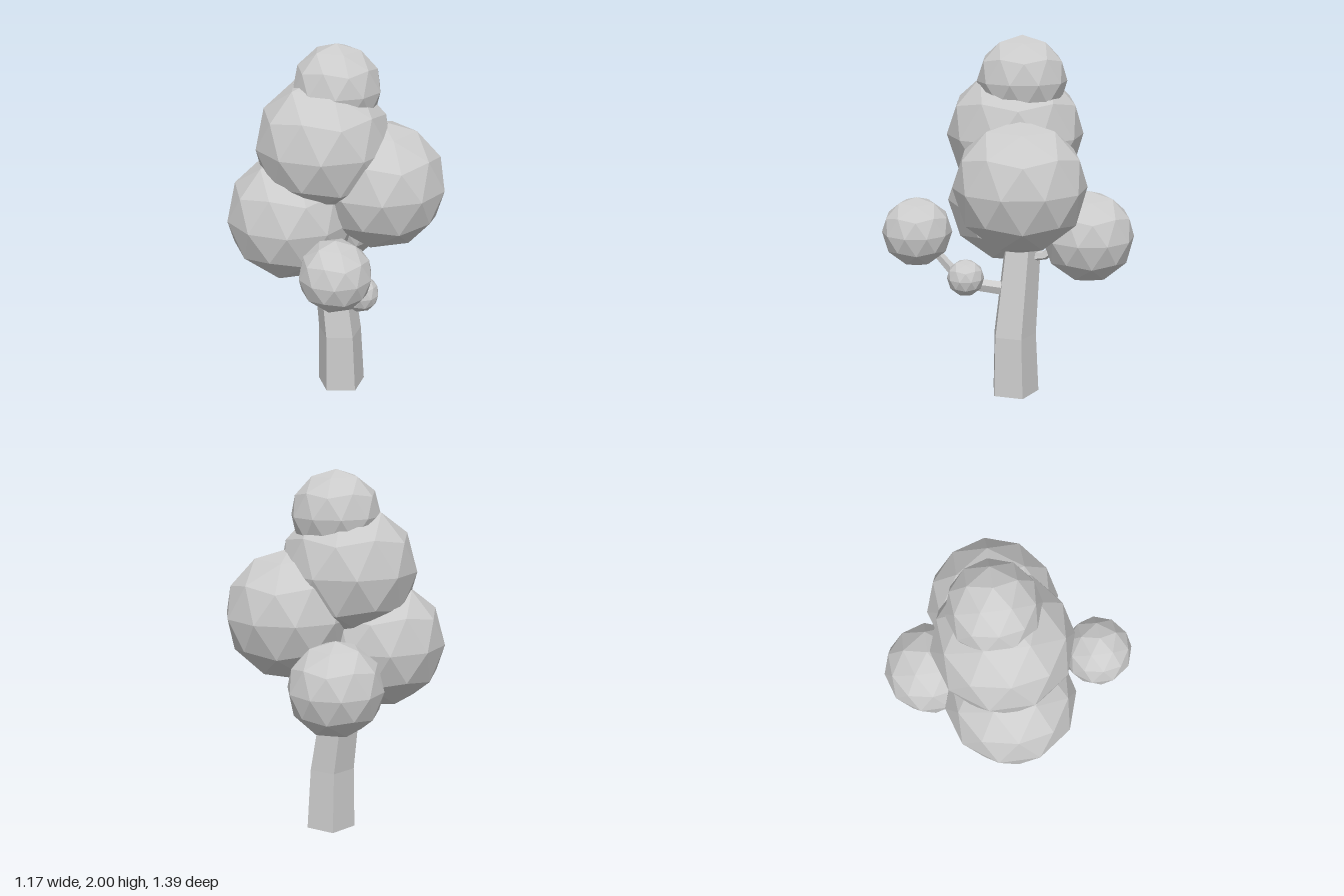
import * as THREE from 'three';

const material = new THREE.MeshStandardMaterial({ color: 0xcccccc, flatShading: true });

// Five-sided tapering limb through [x, y, z, radius] stations, closed at both ends
function limb(name, stations, fixedAxis) {
  const sides = 5, positions = [], indices = [];
  const points = stations.map(([x, y, z]) => new THREE.Vector3(x, y, z));
  const last = points.length - 1;
  points.forEach((p, i) => {
    const t = fixedAxis ?? points[Math.min(i + 1, last)].clone()
      .sub(points[Math.max(i - 1, 0)]).normalize();
    const ref = Math.abs(t.x) > 0.7 ? new THREE.Vector3(0, 0, 1) : new THREE.Vector3(1, 0, 0);
    const u = ref.addScaledVector(t, -ref.dot(t)).normalize();
    const v = new THREE.Vector3().crossVectors(t, u);
    for (let j = 0; j < sides; j++) {
      const a = Math.PI / 2 + (j / sides) * Math.PI * 2;
      const q = p.clone()
        .addScaledVector(u, Math.cos(a) * stations[i][3])
        .addScaledVector(v, Math.sin(a) * stations[i][3]);
      positions.push(q.x, q.y, q.z);
    }
  });
  for (let i = 0; i < last; i++) {
    for (let j = 0; j < sides; j++) {
      const a = i * sides + j, b = i * sides + (j + 1) % sides;
      indices.push(a, b, b + sides, a, b + sides, a + sides);
    }
  }
  const end = last * sides;
  for (let j = 1; j < sides - 1; j++) {
    indices.push(0, j + 1, j, end, end + j, end + j + 1);
  }
  const geometry = new THREE.BufferGeometry();
  geometry.setAttribute('position', new THREE.Float32BufferAttribute(positions, 3));
  geometry.setIndex(indices);
  geometry.computeVertexNormals();
  const mesh = new THREE.Mesh(geometry, material);
  mesh.name = name;
  return mesh;
}

// Faceted leaf ball, turned so that one icosahedron corner points straight up
const ball = new THREE.IcosahedronGeometry(1, 1)
  .rotateZ(-Math.atan(2 / (1 + Math.sqrt(5))));

function foliage(name, x, y, z, radius) {
  const mesh = new THREE.Mesh(ball, material);
  mesh.name = name;
  mesh.position.set(x, y, z);
  mesh.scale.setScalar(radius);
  return mesh;
}

export function createModel() {
  const tree = new THREE.Group();
  tree.name = 'tree';

  // Leaning trunk with level rings
  tree.add(limb('trunk', [
    [0.028, 0, -0.03, 0.14],
    [0.02, 0.34, -0.027, 0.127],
    [-0.04, 0.87, -0.077, 0.107],
    [-0.075, 1.2, -0.105, 0.095],
  ], new THREE.Vector3(0, 1, 0)));

  // Branches reaching the outlying leaf balls
  tree.add(
    limb('frontBranch', [
      [0, 0.59, -0.02, 0.04], [0.005, 0.635, 0.25, 0.036], [0.007, 0.85, 0.43, 0.022],
    ]),
    limb('frontTwig', [[0, 0.64, 0.245, 0.022], [0.12, 0.7, 0.238, 0.014]]),
    limb('backBranch', [
      [-0.02, 0.775, -0.1, 0.03], [0.01, 0.79, -0.2, 0.026], [0.04, 0.9, -0.34, 0.02],
    ]),
  );

  // Crown
  tree.add(
    foliage('topFoliage', 0, 1.757, -0.073, 0.243),
    foliage('upperFoliage', -0.07, 1.46, -0.04, 0.374),
    foliage('leftFoliage', 0.245, 1.227, -0.052, 0.356),
    foliage('rightFoliage', -0.25, 1.052, -0.022, 0.357),
    foliage('frontFoliage', 0.007, 0.932, 0.502, 0.193),
    foliage('backFoliage', 0.042, 0.905, -0.436, 0.255),
    foliage('smallFoliage', 0.135, 0.703, 0.238, 0.102),
  );
  return tree;
}
